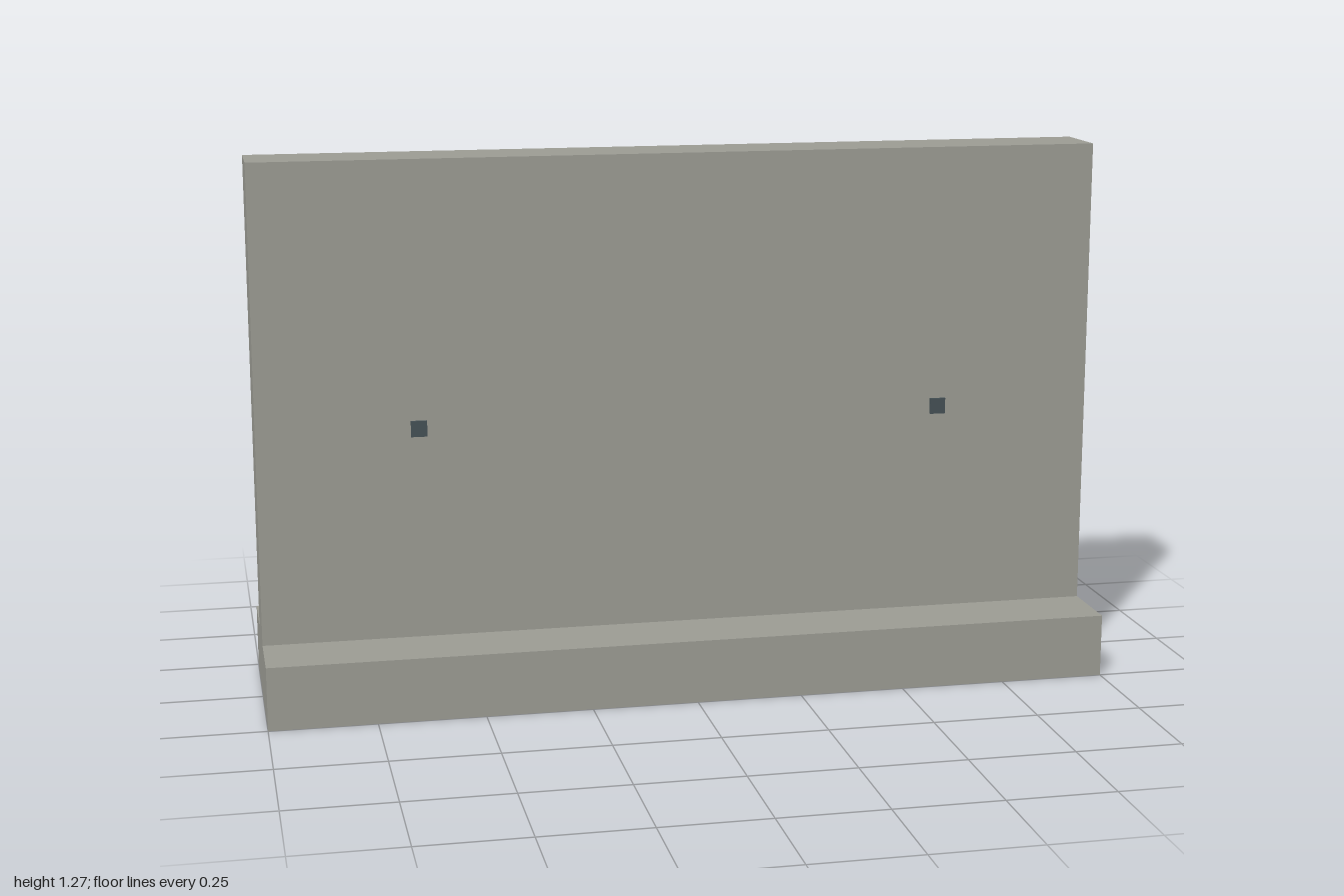
import * as THREE from 'three';

export function createModel() {
  const group = new THREE.Group();
  group.name = 'retainingWall';
  const concrete = new THREE.MeshStandardMaterial({ color: 0x9b9b93 });
  const dark = new THREE.MeshStandardMaterial({ color: 0x445055 });

  const length = 2, height = 1.275, footHeight = 0.15;
  const halfWall = 0.08, halfFoot = 0.25;

  // Inverted T section (footing and upright wall), extruded along x
  const section = new THREE.Shape([
    [-halfFoot, 0], [halfFoot, 0], [halfFoot, footHeight], [halfWall, footHeight],
    [halfWall, height], [-halfWall, height], [-halfWall, footHeight], [-halfFoot, footHeight],
  ].map(([z, y]) => new THREE.Vector2(z, y)));
  const wallGeometry = new THREE.ExtrudeGeometry(section, { depth: length, bevelEnabled: false });
  wallGeometry.translate(0, 0, -length / 2).rotateY(Math.PI / 2);
  const wall = new THREE.Mesh(wallGeometry, concrete);
  wall.name = 'wallWithFooting';
  group.add(wall);

  // Small dark plates on the front face, slightly proud of the wall
  const plateGeometry = new THREE.BoxGeometry(0.0375, 0.0375, 0.012);
  for (const side of [-1, 1]) {
    const plate = new THREE.Mesh(plateGeometry, dark);
    plate.name = side > 0 ? 'leftPlate' : 'rightPlate';
    plate.position.set(side * 0.625, 0.651, halfWall);
    group.add(plate);
  }
  return group;
}
